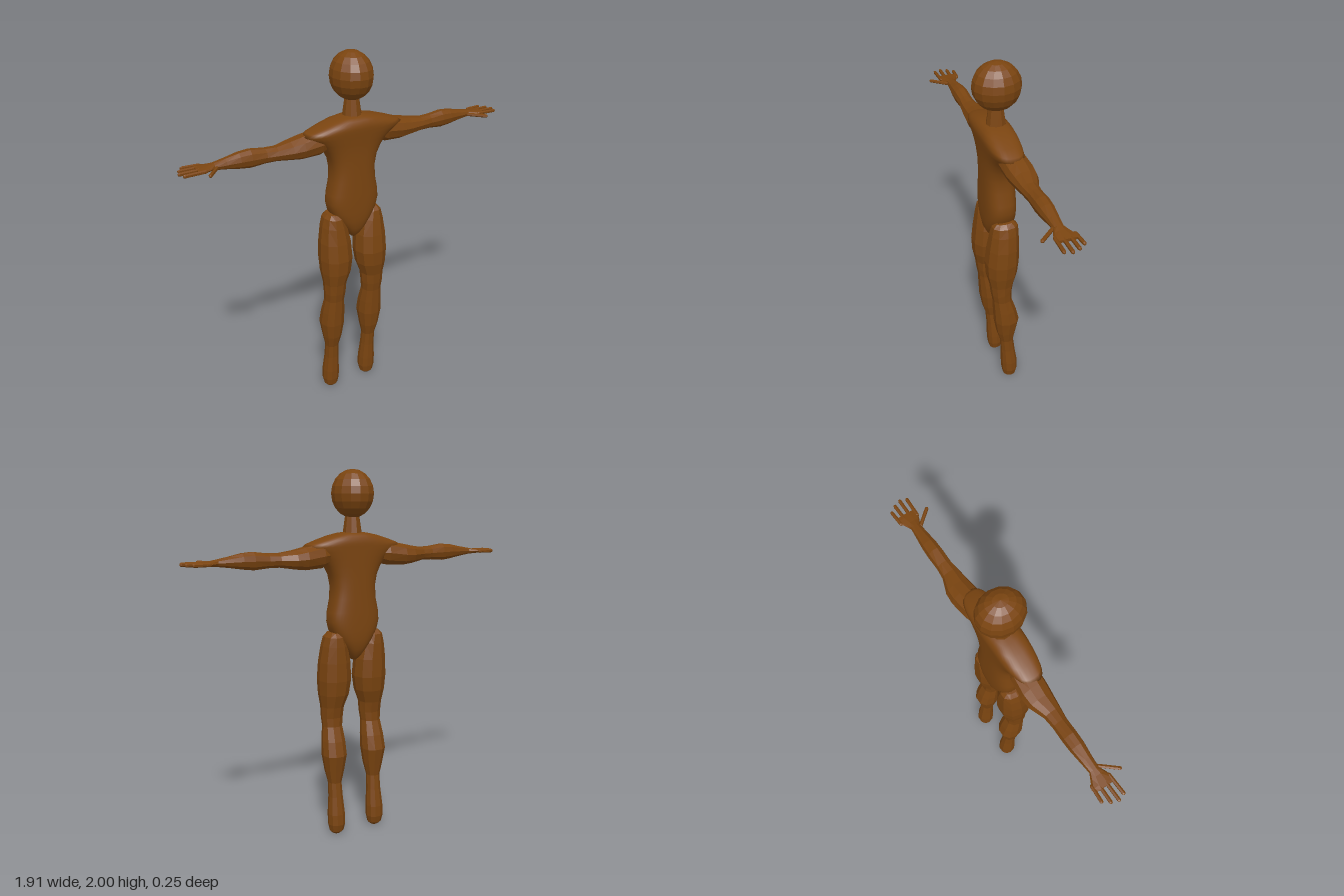
import * as THREE from 'three';

const brown = new THREE.MeshStandardMaterial({ color: 0x7a4410 });
brown.name = 'brown';

// Skin rings along an axis. Section: [t, uMin, uMax, vMin, vMax].
// The map places (u, t, v) in space; power below 1 squares off the ring.
function loft(sections, sides, { map, flip = false, power = 1, flat = true }) {
  const pos = [], index = [];
  const add = (u, t, v) => pos.push(...map(u, t, v));
  const bend = (c) => Math.sign(c) * Math.pow(Math.abs(c), power);
  const tri = (a, b, c) => (flip ? index.push(a, c, b) : index.push(a, b, c));
  for (const [t, u0, u1, v0, v1] of sections) {
    for (let j = 0; j < sides; j++) {
      const a = (j / sides) * Math.PI * 2;
      add((u0 + u1) / 2 + ((u1 - u0) / 2) * bend(Math.cos(a)), t,
        (v0 + v1) / 2 + ((v1 - v0) / 2) * bend(Math.sin(a)));
    }
  }
  const last = sections.length - 1;
  for (let i = 0; i < last; i++) {
    for (let j = 0; j < sides; j++) {
      const a = i * sides + j, b = i * sides + ((j + 1) % sides);
      tri(a, a + sides, b);
      tri(b, a + sides, b + sides);
    }
  }
  // End caps
  for (const i of [0, last]) {
    const [t, u0, u1, v0, v1] = sections[i];
    const centre = pos.length / 3;
    add((u0 + u1) / 2, t, (v0 + v1) / 2);
    for (let j = 0; j < sides; j++) {
      const a = i * sides + j, b = i * sides + ((j + 1) % sides);
      if (i === 0) tri(centre, a, b);
      else tri(centre, b, a);
    }
  }
  let geo = new THREE.BufferGeometry();
  geo.setAttribute('position', new THREE.Float32BufferAttribute(pos, 3));
  geo.setIndex(index);
  if (flat) geo = geo.toNonIndexed();
  geo.computeVertexNormals();
  return geo;
}

function faceted(geo) {
  const g = geo.toNonIndexed();
  g.computeVertexNormals();
  return g;
}

function part(name, geo, parent) {
  const mesh = new THREE.Mesh(geo, brown);
  mesh.name = name;
  parent.add(mesh);
  return mesh;
}

// Torso: [y, half width, back z, front z]
const TORSO = [
  [0.985, 0.012, -0.03, 0.03], [1.01, 0.035, -0.055, 0.055], [1.05, 0.065, -0.075, 0.075],
  [1.1, 0.105, -0.083, 0.083], [1.15, 0.135, -0.084, 0.085], [1.2, 0.148, -0.084, 0.086],
  [1.25, 0.145, -0.083, 0.086], [1.32, 0.129, -0.081, 0.085], [1.39, 0.125, -0.08, 0.085],
  [1.45, 0.138, -0.079, 0.085], [1.5, 0.165, -0.079, 0.087], [1.54, 0.2, -0.079, 0.09],
  [1.575, 0.25, -0.079, 0.094], [1.6, 0.29, -0.079, 0.096], [1.615, 0.268, -0.079, 0.097],
  [1.635, 0.21, -0.077, 0.096], [1.655, 0.145, -0.068, 0.085], [1.668, 0.085, -0.05, 0.066],
  [1.675, 0.03, -0.02, 0.03],
];

// Leg: [y, inner x, outer x, back z, front z]
const LEG = [
  [0.004, 0.105, 0.145, -0.05, -0.012], [0.02, 0.086, 0.163, -0.07, 0.004],
  [0.06, 0.077, 0.172, -0.08, 0.012], [0.12, 0.077, 0.172, -0.078, 0.016],
  [0.22, 0.085, 0.163, -0.063, 0.018], [0.3, 0.088, 0.162, -0.053, 0.024],
  [0.37, 0.072, 0.178, -0.066, 0.045], [0.46, 0.058, 0.193, -0.083, 0.06],
  [0.54, 0.06, 0.188, -0.064, 0.064], [0.62, 0.068, 0.178, -0.038, 0.068],
  [0.67, 0.062, 0.182, -0.037, 0.077], [0.73, 0.058, 0.184, -0.048, 0.084],
  [0.8, 0.032, 0.196, -0.07, 0.1], [0.88, 0.02, 0.202, -0.08, 0.105],
  [0.98, 0.026, 0.198, -0.08, 0.094], [1.07, 0.047, 0.184, -0.077, 0.08],
  [1.12, 0.07, 0.17, -0.072, 0.07], [1.142, 0.1, 0.148, -0.05, 0.05],
];

// Arm and palm: [x, back z, front z, low y, high y]
const ARM = [
  [0.13, -0.05, 0.05, 1.52, 1.6], [0.2, -0.075, 0.065, 1.49, 1.625],
  [0.3, -0.085, 0.062, 1.485, 1.605], [0.36, -0.08, 0.055, 1.492, 1.592],
  [0.44, -0.05, 0.045, 1.505, 1.58], [0.5, -0.044, 0.037, 1.505, 1.582],
  [0.58, -0.046, 0.038, 1.498, 1.593], [0.64, -0.044, 0.036, 1.505, 1.588],
  [0.71, -0.036, 0.028, 1.517, 1.573], [0.77, -0.03, 0.024, 1.525, 1.562],
  [0.8, -0.046, 0.038, 1.528, 1.556], [0.84, -0.068, 0.052, 1.532, 1.552],
  [0.86, -0.066, 0.05, 1.534, 1.55],
];

// Fingers: [z, tip x]
const FINGERS = [[-0.062, 0.915], [-0.028, 0.94], [0.009, 0.953], [0.045, 0.94]];

// Thin rounded rod between two points
function rod(name, from, to, radius, parent) {
  const dir = to.clone().sub(from);
  const mesh = part(name, faceted(new THREE.CapsuleGeometry(radius, dir.length() - 2 * radius, 2, 6)), parent);
  mesh.position.copy(from).add(to).multiplyScalar(0.5);
  mesh.quaternion.setFromUnitVectors(new THREE.Vector3(0, 1, 0), dir.normalize());
}

export function createModel() {
  const model = new THREE.Group();
  model.name = 'figure';

  // Head and neck
  const head = new THREE.SphereGeometry(1, 14, 10);
  head.scale(0.11, 0.127, 0.127);
  part('head', faceted(head), model).position.y = 1.873;
  const neck = part('neck', faceted(new THREE.CylinderGeometry(0.037, 0.056, 0.13, 10)), model);
  neck.position.set(0, 1.705, 0.004);

  // Torso
  part('torso', loft(TORSO.map(([y, w, b, f]) => [y, -w, w, b, f]), 40,
    { map: (u, t, v) => [u, t, v], power: 0.72, flat: false }), model);

  // Limbs, mirrored left and right
  for (const s of [1, -1]) {
    const side = s > 0 ? 'left' : 'right';
    const flip = s < 0;
    part(side + 'Leg', loft(LEG, 10, { map: (u, t, v) => [s * u, t, v], flip, power: 0.9 }), model);

    const arm = new THREE.Group();
    arm.name = side + 'ArmAndHand';
    model.add(arm);
    part(side + 'Arm', loft(ARM, 10, { map: (u, t, v) => [s * t, v, u], flip, power: 0.95 }), arm);
    FINGERS.forEach(([z, tip], i) => rod(side + 'Finger' + (i + 1),
      new THREE.Vector3(s * 0.815, 1.542, z * 0.9), new THREE.Vector3(s * tip, 1.542, z), 0.0095, arm));
    rod(side + 'Thumb', new THREE.Vector3(s * 0.755, 1.542, 0.015),
      new THREE.Vector3(s * 0.835, 1.542, 0.108), 0.0095, arm);
  }
  return model;
}
